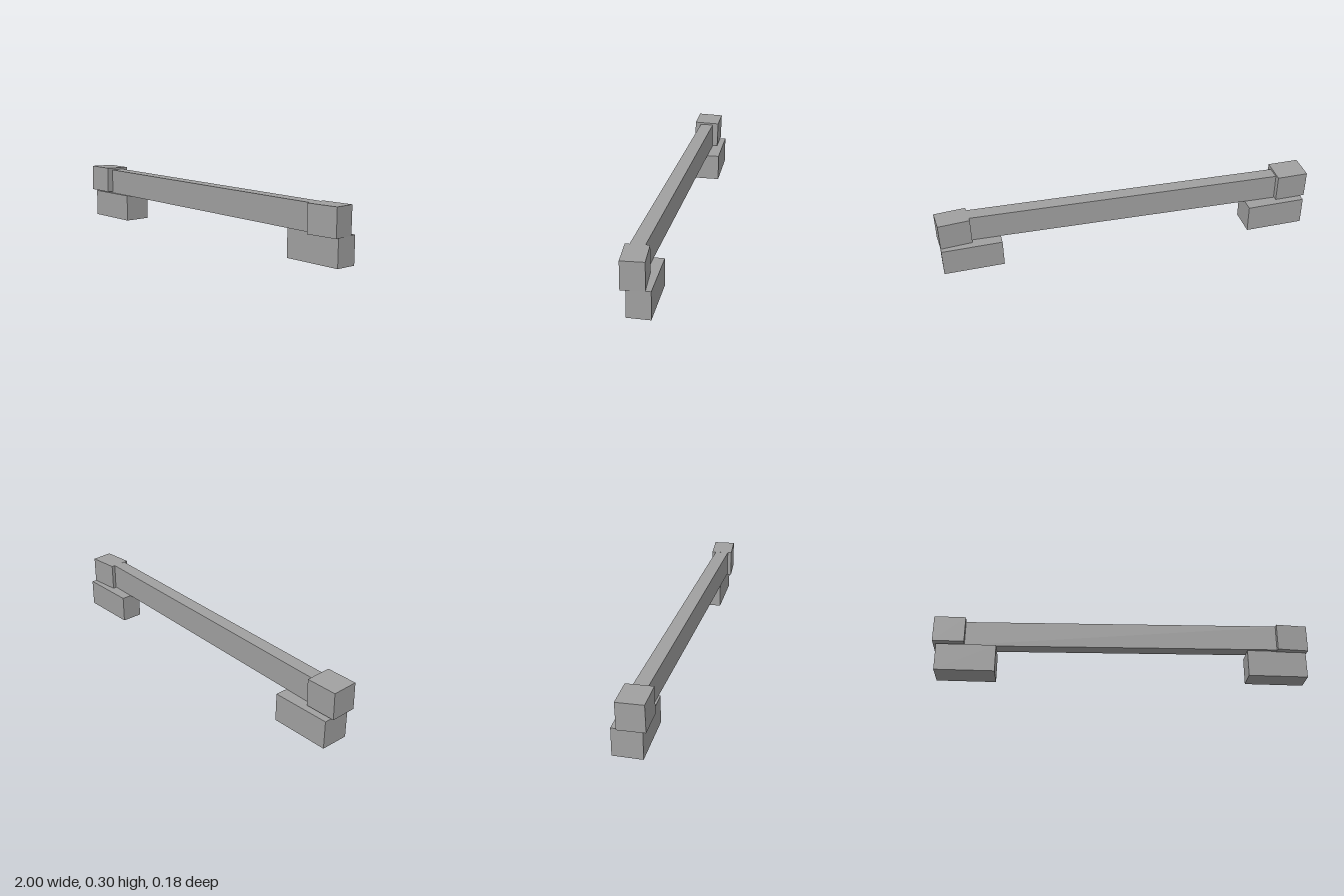
import * as THREE from 'three';

export function createModel() {
  const model = new THREE.Group();
  const grey = new THREE.MeshStandardMaterial({ color: 0xa0a0a0, flatShading: true });
  grey.name = 'grey';

  // A box given by size, centre and a slight tilt
  function block(name, size, centre, tilt = [0, 0, 0]) {
    const mesh = new THREE.Mesh(new THREE.BoxGeometry(...size), grey);
    mesh.name = name;
    mesh.position.set(...centre);
    mesh.rotation.set(...tilt);
    model.add(mesh);
  }

  // Long horizontal beam, its ends sunk into the end blocks
  block('beam', [1.75, 0.139, 0.073], [0, 0.2175, 0.0125]);

  // Blocks capping the beam ends
  block('rightEndBlock', [0.166, 0.143, 0.138], [-0.915, 0.2265, 0.0165], [-0.025, 0.035, 0]);
  block('leftEndBlock', [0.165, 0.145, 0.115], [0.91, 0.2148, 0.004], [-0.01, 0.115, 0]);

  // Feet below the ends, each turned a little
  block('rightFoot', [0.315, 0.148, 0.15], [-0.823, 0.0745, -0.011], [0, 0.037, 0]);
  block('leftFoot', [0.315, 0.145, 0.116], [0.83, 0.0727, -0.023], [-0.01, 0.04, 0]);

  return model;
}
